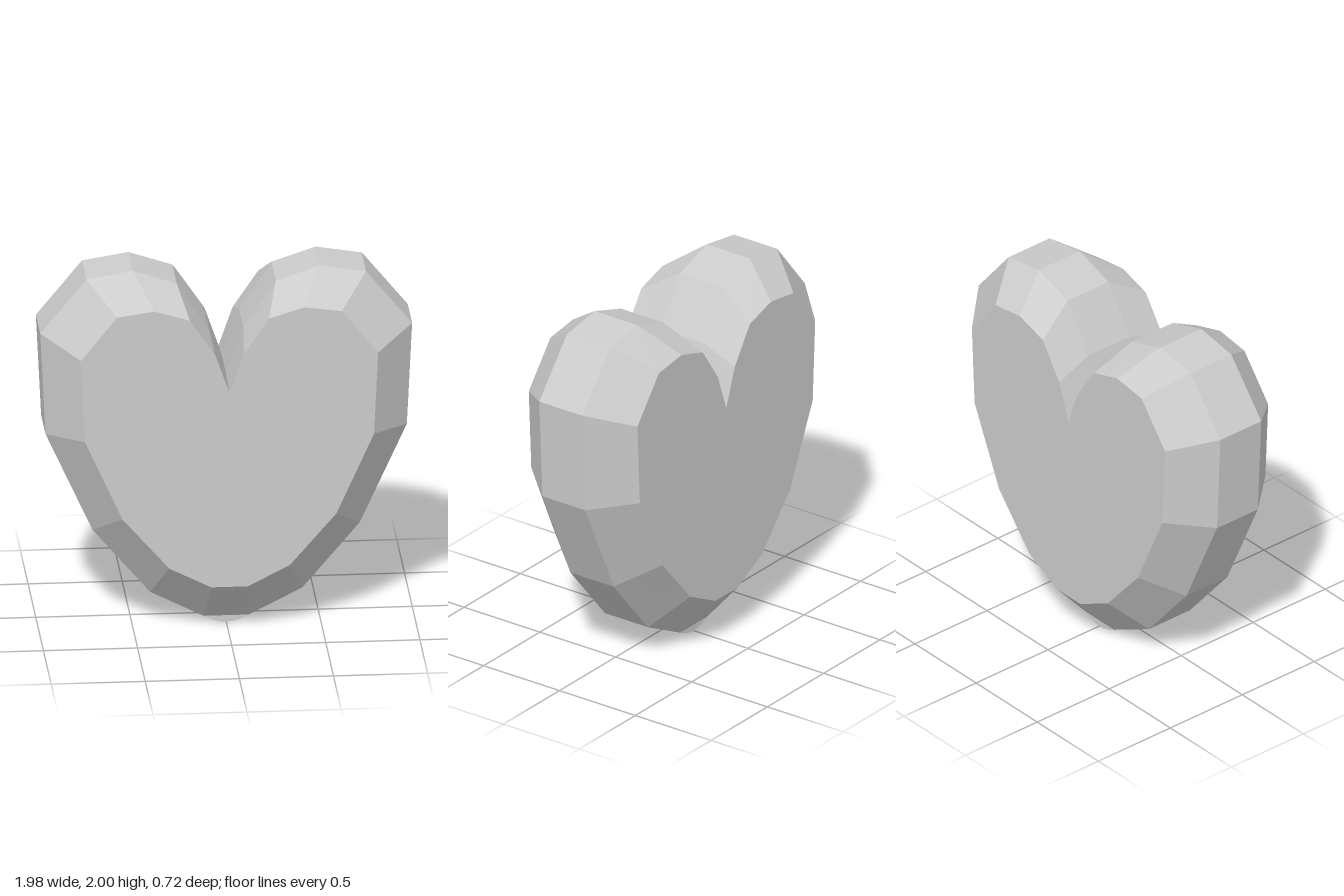
import * as THREE from 'three';

// Right half of each outline, from the bottom up to the notch
const OUTER = [[0.12, 0.035], [0.405, 0.18], [0.71, 0.54], [0.96, 1.09], [0.988, 1.66],
  [0.743, 1.96], [0.497, 2], [0.263, 1.922], [0.092, 1.66], [0, 1.4]];
const INNER = [[0.097, 0.277], [0.32, 0.39], [0.568, 0.675], [0.768, 1.12], [0.79, 1.58],
  [0.597, 1.82], [0.397, 1.848], [0.21, 1.79], [0.075, 1.59], [0, 1.375]];
// Rounded tip below the bottom edge, left to right
const TIP = [[-0.12, 0.035], [-0.075, 0.013], [-0.03, 0], [0.03, 0], [0.075, 0.013], [0.12, 0.035]];
const RIM_Z = 0.142, FACE_Z = 0.358;

// Counter-clockwise loop: right half up, mirrored half down
const mirrorLoop = (half) => [...half, ...half.slice(0, -1).reverse().map(([x, y]) => [-x, y])];

// Wall between two matching outlines at depths zBack and zFront
function wall(back, zBack, front, zFront, closed) {
  const out = [];
  const count = closed ? back.length : back.length - 1;
  for (let i = 0; i < count; i++) {
    const j = (i + 1) % back.length;
    const a = [...back[i], zBack], b = [...back[j], zBack];
    const c = [...front[j], zFront], d = [...front[i], zFront];
    out.push(...a, ...b, ...c, ...a, ...c, ...d);
  }
  return out;
}

// Flat faces closing an outline at +z and -z
function caps(loop, z) {
  const out = [];
  const tris = THREE.ShapeUtils.triangulateShape(loop.map(([x, y]) => new THREE.Vector2(x, y)), []);
  for (const [a, b, c] of tris) {
    out.push(...loop[a], z, ...loop[b], z, ...loop[c], z);
    out.push(...loop[a], -z, ...loop[c], -z, ...loop[b], -z);
  }
  return out;
}

export function createModel() {
  const group = new THREE.Group();
  group.name = 'heart';
  const material = new THREE.MeshStandardMaterial({ color: 0xcccccc, flatShading: true });
  const add = (name, positions) => {
    const geometry = new THREE.BufferGeometry();
    geometry.setAttribute('position', new THREE.Float32BufferAttribute(positions, 3));
    geometry.computeVertexNormals();
    const mesh = new THREE.Mesh(geometry, material);
    mesh.name = name;
    group.add(mesh);
  };

  const outer = mirrorLoop(OUTER), inner = mirrorLoop(INNER);

  // Straight band around the middle, open where the tip joins
  add('rim', wall(outer, -RIM_Z, outer, RIM_Z, false));
  // Sloping borders
  add('frontBevel', wall(outer, RIM_Z, inner, FACE_Z, true));
  add('backBevel', wall(inner, -FACE_Z, outer, -RIM_Z, true));
  // Flat heart faces
  add('faces', caps(inner, FACE_Z));
  // Small rounded bottom point
  add('bottomTip', [...wall(TIP, -RIM_Z, TIP, RIM_Z, false), ...caps(TIP, RIM_Z)]);

  return group;
}
